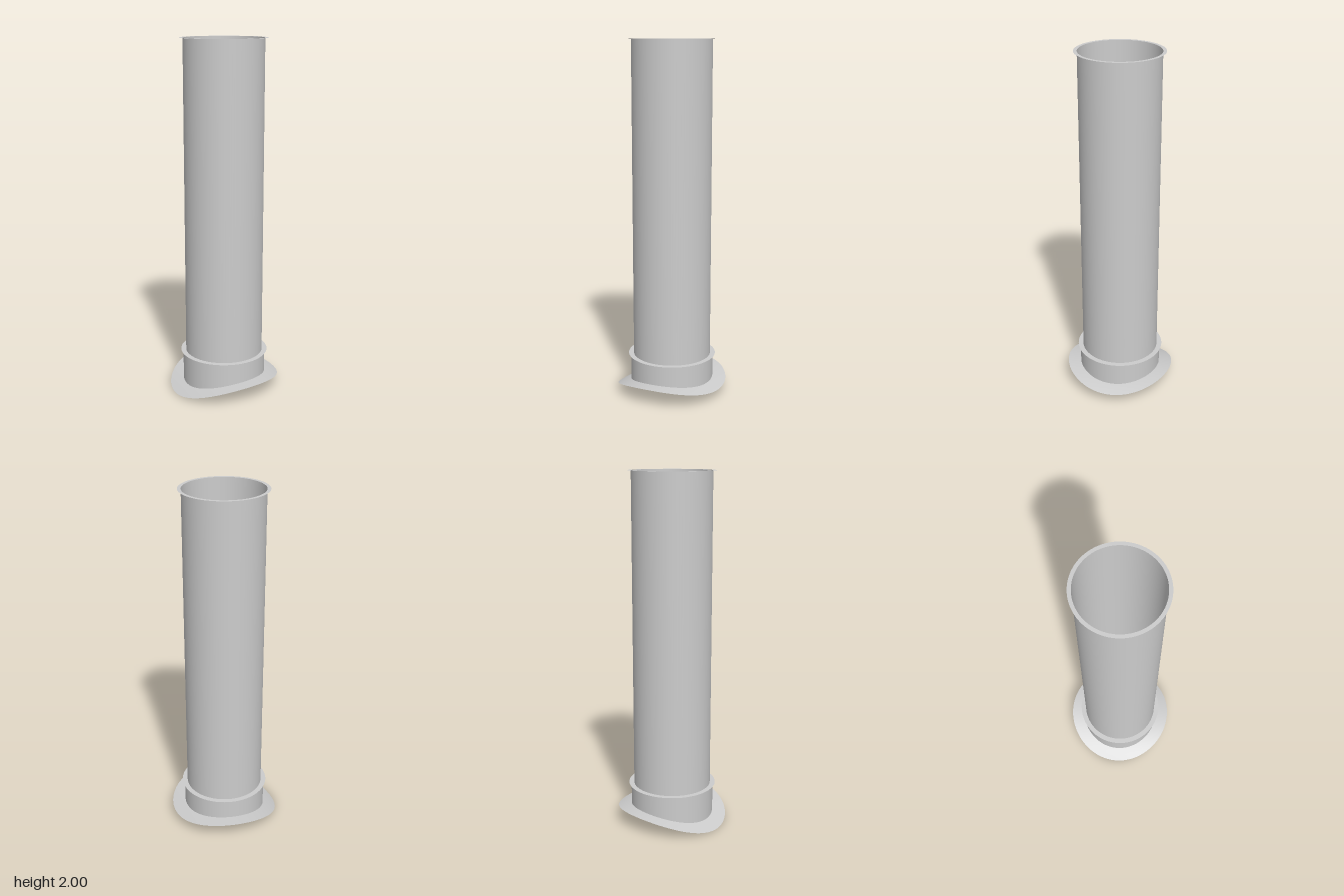
import * as THREE from 'three';

const SEG = 96;
const TUBE_R = 0.221, TUBE_LIP_R = 0.24;
const COLLAR_R = 0.237, COLLAR_LIP_R = 0.25;
const FLANGE_R = 0.313, COLLAR_TOP = 0.22, TOP = 2;

// Height of the saddle: a cylinder lying along z, its crest set off to +x
const CREST_X = 0.06, CREST_Y = 0.1015, SADDLE_R = 0.74;
const saddleY = x => CREST_Y - SADDLE_R + Math.sqrt(SADDLE_R ** 2 - (x - CREST_X) ** 2);

const material = new THREE.MeshStandardMaterial({ color: 0xcccccc, side: THREE.DoubleSide });

function part(name, geometry) {
  const mesh = new THREE.Mesh(geometry, material);
  mesh.name = name;
  return mesh;
}

// Open sheet tube whose lower end is cut to the saddle
function cutTube(radius, top) {
  const geometry = new THREE.CylinderGeometry(radius, radius, 1, SEG, 1, true);
  const p = geometry.attributes.position;
  for (let i = 0; i < p.count; i++) p.setY(i, p.getY(i) > 0 ? top : saddleY(p.getX(i)));
  return geometry;
}

// Flat ring facing up
function ring(inner, outer, y, rows = 1) {
  return new THREE.RingGeometry(inner, outer, SEG, rows).rotateX(-Math.PI / 2).translate(0, y, 0);
}

// Ring bent over the saddle
function saddleRing(inner, outer) {
  const geometry = ring(inner, outer, 0, 6);
  const p = geometry.attributes.position;
  for (let i = 0; i < p.count; i++) p.setY(i, saddleY(p.getX(i)));
  geometry.computeVertexNormals();
  return geometry;
}

export function createModel() {
  const group = new THREE.Group();
  group.name = 'saddlePipe';
  group.add(
    part('pipe', cutTube(TUBE_R, TOP)),
    part('pipeLip', ring(TUBE_R, TUBE_LIP_R, TOP)),
    part('collar', cutTube(COLLAR_R, COLLAR_TOP)),
    part('collarLip', ring(TUBE_R, COLLAR_LIP_R, COLLAR_TOP)),
    part('saddleFlange', saddleRing(TUBE_R, FLANGE_R)),
  );
  return group;
}
